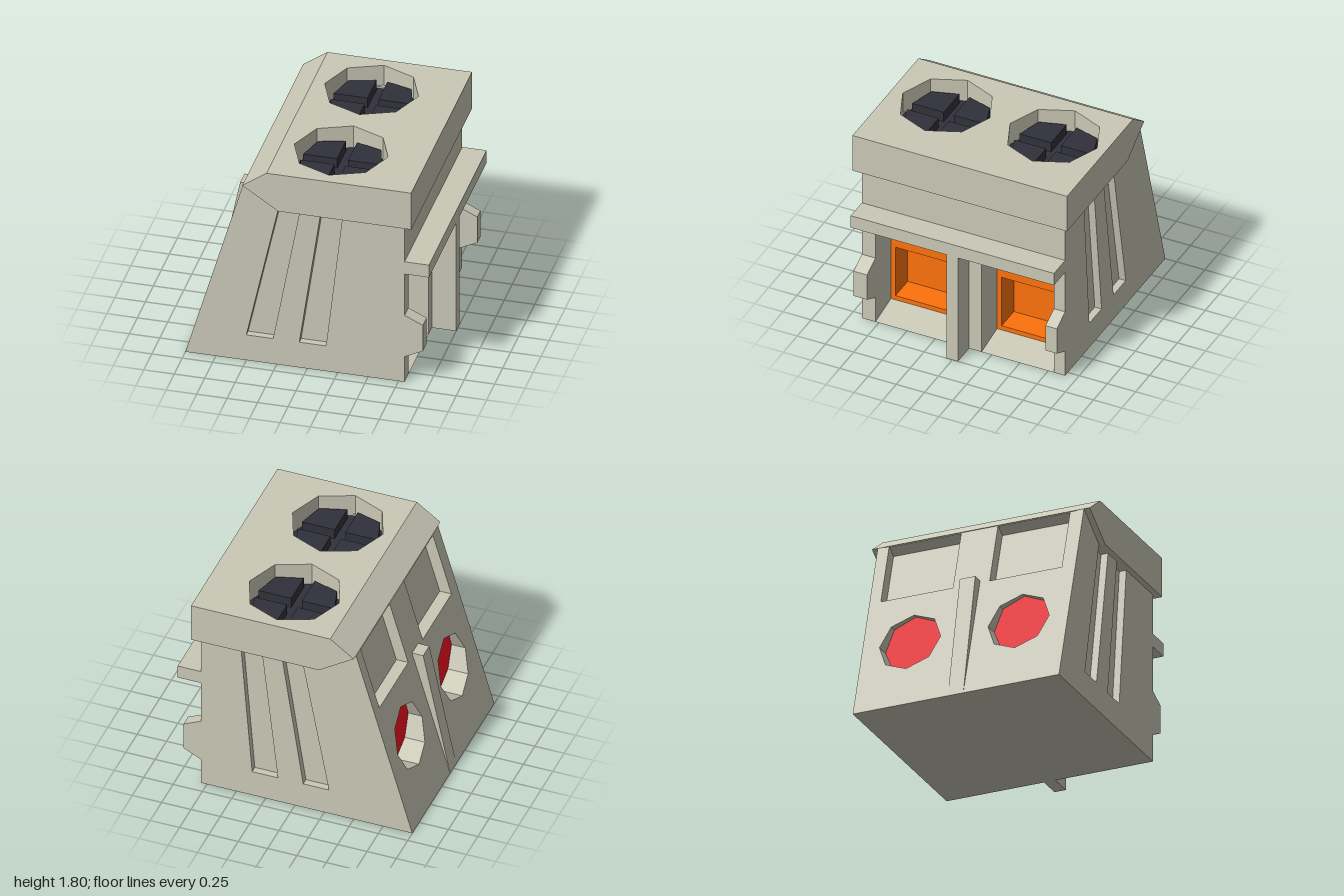
import * as THREE from 'three';

const mat = (color) => new THREE.MeshStandardMaterial({ color, flatShading: true });
const SLOPE = 0.48 / 1.655; // lean of the slanted wall, x per unit of y

export function createModel() {
  const model = new THREE.Group();
  const stone = mat(0xcac8b6), dark = mat(0x31313b), orange = mat(0xfd720c), red = mat(0xff1420);

  const add = (name, geometry, material = stone) => {
    const mesh = new THREE.Mesh(geometry, material);
    mesh.name = name;
    model.add(mesh);
    return mesh;
  };
  // Outlines run counter-clockwise and holes clockwise, so all walls face outwards
  const wind = (pts, clockwise) => {
    const list = pts.map(([x, y]) => new THREE.Vector2(x, y));
    return THREE.ShapeUtils.isClockWise(list) === clockwise ? list : list.reverse();
  };
  const extrude = (pts, depth, holes = []) => {
    const shape = new THREE.Shape(wind(pts, false));
    shape.holes = holes.map((h) => new THREE.Path(wind(h, true)));
    return new THREE.ExtrudeGeometry(shape, { depth, bevelEnabled: false });
  };
  // (x, y) profile running from z0 to z1
  const alongZ = (pts, z0, z1, holes) => extrude(pts, z1 - z0, holes).translate(0, 0, z0);
  // (z, y) outline running from x0 to x1
  const alongX = (pts, x0, x1, holes = []) => {
    const flip = (list) => list.map(([z, y]) => [-z, y]);
    return extrude(flip(pts), x1 - x0, holes.map(flip)).rotateY(Math.PI / 2).translate(x0, 0, 0);
  };
  // (x, z) outline running from y0 to y1
  const alongY = (pts, y0, y1, holes = []) => {
    const flip = (list) => list.map(([x, z]) => [x, -z]);
    return extrude(flip(pts), y1 - y0, holes.map(flip)).rotateX(-Math.PI / 2).translate(0, y0, 0);
  };
  const rect = (a0, a1, b0, b1) => [[a0, b0], [a1, b0], [a1, b1], [a0, b1]];
  const octagon = (a, b, r) => Array.from({ length: 8 }, (_, i) => {
    const t = (i * Math.PI) / 4;
    return [a + r * Math.cos(t), b + r * Math.sin(t)];
  });
  const lean = (geometry) => geometry.applyMatrix4(
    new THREE.Matrix4().set(1, SLOPE, 0, 0, 0, 1, 0, 0, 0, 0, 1, 0, 0, 0, 0, 1));

  // Inner block
  add('core', alongZ([[-0.8, 0], [0.28, 0], [0.28, 1.5], [-0.36, 1.5]], -0.84, 0.84));

  // Side walls with slanted grooves and a buttress bump beside the doors
  const sideOutline = [[-1, 0], [0.8, 0], [0.8, 0.235], [0.95, 0.31], [0.95, 0.55], [0.8, 0.62],
    [0.8, 1.6], [-0.45, 1.63], [-0.52, 1.655]];
  const grooves = (low, high) => [
    [[-0.5 + low, 0.235], [-0.28 + low, 0.235], [-0.053 + high, 1.5], [-0.226 + high, 1.5]],
    [[-0.065 + low, 0.235], [0.155 + low, 0.235], [0.294 + high, 1.5], [0.116 + high, 1.5]],
  ];
  add('leftSideWall', alongZ(sideOutline, 0.84, 0.9, grooves(0, 0)));
  add('rightSideWall', alongZ(sideOutline, -0.9, -0.84, grooves(0.21, 0.17)));
  for (const z of [0.834, -0.834]) {
    const backing = [[-0.55, 0.2], [0.45, 0.2], [0.6, 1.5], [-0.3, 1.5]];
    add('grooveBacking', alongZ(backing, z - 0.005, z + 0.005));
  }

  // Slanted wall with windows and octagonal lamp recesses
  const windows = [[-0.8, -0.17], [0.15, 0.78]];
  const lamps = [-0.483, 0.465];
  add('slantedWall', lean(alongX(rect(-0.84, 0.84, 0, 1.65), -1, -0.8, [
    ...windows.map(([a, b]) => rect(a, b, 1.1, 1.645)),
    ...lamps.map((z) => octagon(z, 0.63, 0.267)),
  ])));
  for (const [a, b] of windows)
    add('windowPane', lean(alongX(rect(a, b, 1.1, 1.645), -0.9, -0.8)));
  for (const z of lamps)
    add('redLamp', alongX(octagon(z, 0.63, 0.267), -0.7, -0.67), red);
  add('centreRib', alongZ([[-1, 0], [-0.9, 0], [-0.6, 1.12], [-0.77, 1.12]], -0.07, 0.065));

  // Door front: lintel, ledge, ramp, jambs and centre pillar
  add('lintel', alongZ([[0.27, 0.95], [0.52, 0.95], [0.8, 1], [0.8, 1.5], [0.27, 1.5]], -0.84, 0.84));
  add('ledge', alongZ(rect(0.78, 1, 1.005, 1.12), -0.9, 0.9));
  add('ramp', alongZ([[0.27, 0], [0.8, 0], [0.52, 0.05], [0.27, 0.05]], -0.84, 0.84));
  const jamb = [[0.27, 0], ...sideOutline.slice(1, 6), [0.8, 1.01], [0.27, 1.01]];
  add('leftJamb', alongZ(jamb, 0.78, 0.84));
  add('rightJamb', alongZ(jamb, -0.84, -0.8));
  add('centrePillar', alongZ(rect(0.27, 0.8, 0, 1.01), -0.16, 0.15));
  add('pillarFin', alongZ(rect(0.79, 1, 0, 1.01), -0.05, 0.05));

  // Orange doors with a recessed lower panel
  const doors = [[0.15, 0.78, 0.2, 0.74], [-0.8, -0.16, -0.75, -0.2]];
  for (const [a, b, c, d] of doors) {
    add('door', alongX(rect(a, b, 0.04, 0.96), 0.3, 0.52, [rect(c, d, 0.09, 0.56)]), orange);
    add('doorPanel', alongX(rect(c, d, 0.09, 0.56), 0.28, 0.3), orange);
  }

  // Roof: lower block with a beaked edge, and a top plate pierced by fan wells
  const fans = [-0.485, 0.465], fanX = 0.165, wellFloor = 1.59;
  add('roofBase', alongZ([[-0.32, 1.8], [-0.52, 1.655], [-0.225, 1.46], [0.867, 1.46],
    [0.867, wellFloor], [-0.32, wellFloor]], -0.95, 0.95));
  add('roofPlate', alongY(rect(-0.32, 0.867, -0.95, 0.95), wellFloor, 1.8,
    fans.map((z) => octagon(fanX, z, 0.385))));

  // Fans: dark floor and four raised blades with a cross gap
  for (const z of fans) {
    add('fanFloor', alongY(octagon(fanX, z, 0.385), wellFloor - 0.01, wellFloor + 0.01), dark);
    for (const sx of [-1, 1]) for (const sz of [-1, 1]) {
      const blade = [[0.045, 0.045], [0.325, 0.045], [0.26, 0.26], [0.045, 0.325]]
        .map(([x, d]) => [fanX + sx * x, z + sz * d]);
      add('fanBlade', alongY(blade, wellFloor, wellFloor + 0.1), dark);
    }
  }
  return model;
}
